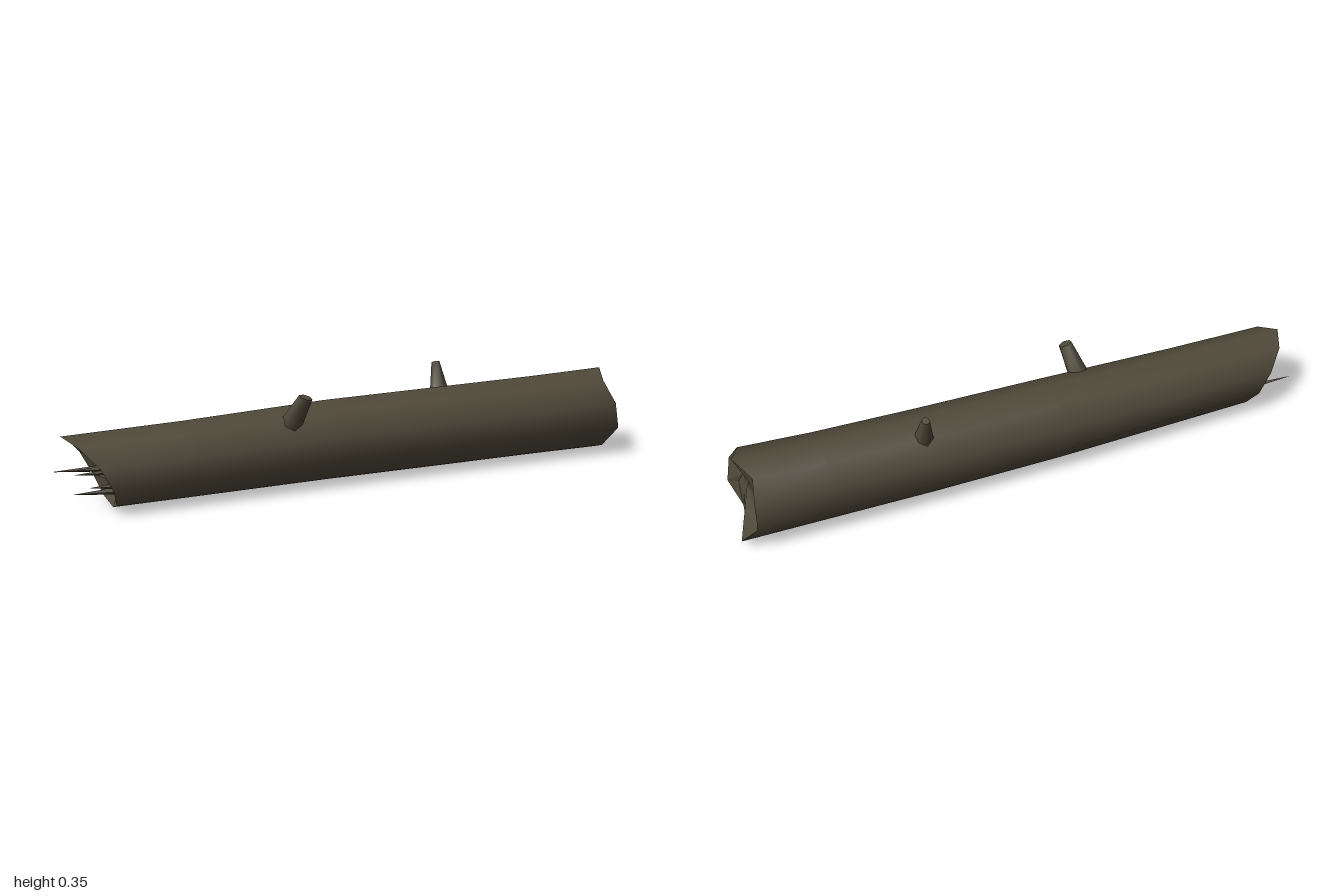
import * as THREE from 'three';
import { toCreasedNormals } from 'three/addons/utils/BufferGeometryUtils.js';

const SIDES = 10;

// Trunk sections: x, centre y, centre z, radius
const SECTIONS = [
  [-0.92, 0.137, 0.0, 0.125],
  [-0.6, 0.14, -0.001, 0.129],
  [-0.1, 0.148, -0.003, 0.138],
  [0.35, 0.15, 0.006, 0.141],
  [0.7, 0.153, 0.017, 0.143],
  [0.96, 0.157, 0.028, 0.147],
];
// Broken ends: x of each rim corner, from the top round by the front
const LEFT_RIM = [-1, -0.965, -0.91, -0.87, -0.85, -0.84, -0.85, -0.87, -0.91, -0.965];
const RIGHT_RIM = [0.98, 0.94, 0.96, 0.975, 0.945, 0.96, 1, 0.955, 0.955, 0.94];

function ring([x, cy, cz, r], xs) {
  return Array.from({ length: SIDES }, (_, i) => {
    const a = (i / SIDES) * Math.PI * 2;
    return new THREE.Vector3(xs ? xs[i] : x, cy + r * Math.cos(a), cz + r * Math.sin(a));
  });
}

function toGeometry(points, index) {
  const g = new THREE.BufferGeometry().setFromPoints(points);
  g.setIndex(index);
  return g;
}

// Smooth bark through all the rings
function barkGeometry(rings) {
  const index = [];
  for (let k = 0; k < rings.length - 1; k++) {
    for (let i = 0; i < SIDES; i++) {
      const a = k * SIDES + i, b = k * SIDES + ((i + 1) % SIDES);
      index.push(a, b, a + SIDES, b, b + SIDES, a + SIDES);
    }
  }
  const g = toGeometry(rings.flat(), index);
  g.computeVertexNormals();
  return g;
}

// Faceted, jagged hollow: rim, uneven inner ring, centre
function brokenEndGeometry(rim, centre, jag, facing) {
  const inner = rim.map((p, i) => {
    const q = p.clone().lerp(centre, i % 2 ? 0.35 : 0.6);
    q.x += jag[i % jag.length];
    return q;
  });
  const index = [];
  const tri = (a, b, c) => (facing > 0 ? index.push(a, b, c) : index.push(a, c, b));
  for (let i = 0; i < SIDES; i++) {
    const j = (i + 1) % SIDES;
    tri(i, j, SIDES + i);
    tri(j, SIDES + j, SIDES + i);
    tri(SIDES + i, SIDES + j, 2 * SIDES);
  }
  const g = toGeometry([...rim, ...inner, centre], index).toNonIndexed();
  g.computeVertexNormals();
  return g;
}

// Tapered piece between two points; slant tilts its far end along z
function taper(from, to, r1, r2, sides, slant = 0) {
  const a = new THREE.Vector3(...from), b = new THREE.Vector3(...to);
  const d = b.clone().sub(a), len = d.length();
  const g = new THREE.CylinderGeometry(r2, r1, len, sides, 1);
  g.applyQuaternion(new THREE.Quaternion().setFromUnitVectors(new THREE.Vector3(0, 1, 0), d.normalize()));
  g.translate((a.x + b.x) / 2, (a.y + b.y) / 2, (a.z + b.z) / 2);
  const p = g.attributes.position, v = new THREE.Vector3();
  for (let i = 0; i < p.count; i++) {
    v.fromBufferAttribute(p, i);
    if (v.clone().sub(a).dot(d) > len / 2) p.setY(i, v.y + (v.z - b.z) * slant);
  }
  return toCreasedNormals(g, 1.15);
}

export function createModel() {
  const group = new THREE.Group();
  const bark = new THREE.MeshStandardMaterial({ color: 0x50493a });
  bark.name = 'bark';
  const add = (name, geometry) => {
    const mesh = new THREE.Mesh(geometry, bark);
    mesh.name = name;
    group.add(mesh);
  };

  // Trunk and its broken ends
  const last = SECTIONS.length - 1;
  const rings = SECTIONS.map((s, k) => ring(s, k === 0 ? LEFT_RIM : k === last ? RIGHT_RIM : null));
  add('trunk', barkGeometry(rings));
  add('rightBrokenEnd', brokenEndGeometry(rings[0], new THREE.Vector3(-0.83, 0.14, 0),
    [0.02, -0.01, 0.03, 0, 0.015], -1));
  add('leftBrokenEnd', brokenEndGeometry(rings[last], new THREE.Vector3(0.935, 0.15, 0.065),
    [-0.02, 0, -0.01, -0.015, 0.005], 1));

  // Splinters sticking out of the slanted end
  const splinters = [
    [-0.97, 0.145, 0.045], [-1.0, 0.122, -0.1], [-0.97, 0.075, 0.02],
    [-0.95, 0.135, -0.04], [-0.93, 0.105, 0.07],
  ];
  splinters.forEach(([x, y, z]) =>
    add('splinter', taper([-0.83, y - 0.005, z * 0.92], [x, y, z], 0.012, 0.0008, 4)));

  // Branch stubs
  add('frontStub', taper([-0.252, 0.235, 0.07], [-0.226, 0.336, 0.132], 0.036, 0.024, 6, 0.35));
  add('backStub', taper([0.37, 0.24, -0.055], [0.376, 0.355, -0.101], 0.036, 0.014, 6));

  return group;
}
